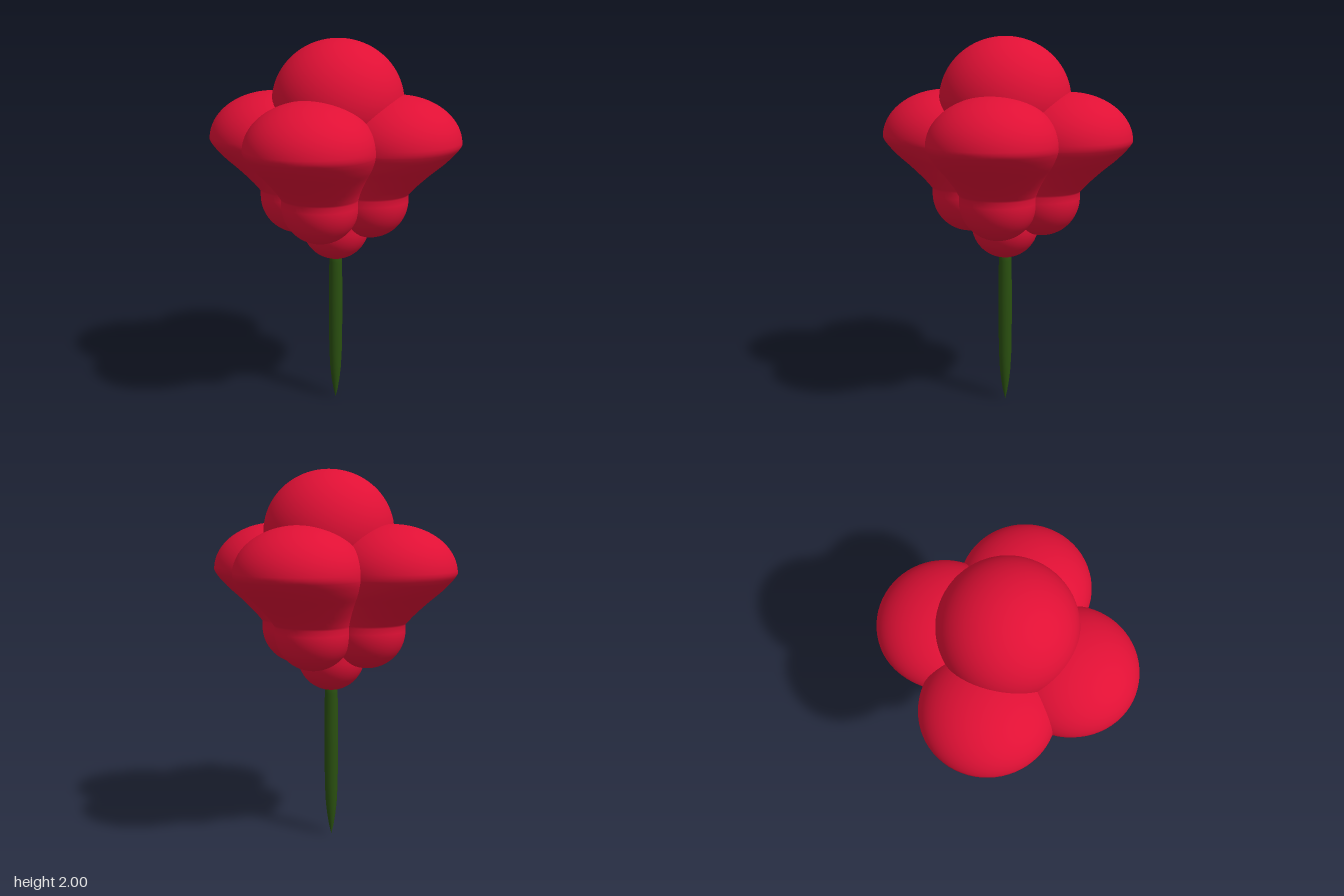
import * as THREE from 'three';
import { mergeVertices } from 'three/addons/utils/BufferGeometryUtils.js';

const red = new THREE.MeshStandardMaterial({ color: 0xe01035 });
const green = new THREE.MeshStandardMaterial({ color: 0x2a5010 });

// Profile points [radius, height] of a bulb: round base, flaring neck, domed top
function bulbProfile({ bottom, baseR, neck, rimY, rimR, top }) {
  const pts = [];
  const baseY = bottom + baseR;
  for (let i = 0; i <= 16; i++) {
    const a = (i / 16) * Math.PI / 2;
    pts.push(new THREE.Vector2(baseR * Math.sin(a), baseY - baseR * Math.cos(a)));
  }
  const flare = new THREE.SplineCurve(neck.map(([r, y]) => new THREE.Vector2(r, y)));
  pts.push(...flare.getPoints(16));
  for (let i = 0; i <= 24; i++) {
    const a = (i / 24) * Math.PI / 2;
    pts.push(new THREE.Vector2(rimR * Math.cos(a), rimY + (top - rimY) * Math.sin(a)));
  }
  pts[0].x = pts[pts.length - 1].x = 0;
  return pts;
}

// Lathe whose level rings slide from one centre to another as they rise
function leaningBulb(name, spec, from, to) {
  const geo = new THREE.LatheGeometry(bulbProfile(spec), 64);
  const pos = geo.attributes.position;
  const [y0, y1] = [spec.neck[0][1], spec.rimY];
  for (let i = 0; i < pos.count; i++) {
    const t = THREE.MathUtils.clamp((pos.getY(i) - y0) / (y1 - y0), 0, 1);
    pos.setX(i, pos.getX(i) + THREE.MathUtils.lerp(from[0], to[0], t));
    pos.setZ(i, pos.getZ(i) + THREE.MathUtils.lerp(from[1], to[1], t));
  }
  geo.deleteAttribute('uv');
  geo.deleteAttribute('normal');
  const smooth = mergeVertices(geo, 1e-5);
  smooth.computeVertexNormals();
  const mesh = new THREE.Mesh(smooth, red);
  mesh.name = name;
  return mesh;
}

export function createModel() {
  const group = new THREE.Group();
  group.name = 'flower';

  // Central bulb
  const centre = {
    bottom: 0.82, baseR: 0.18, rimY: 1.67, rimR: 0.347, top: 2,
    neck: [[0.182, 1.05], [0.22, 1.25], [0.3, 1.48], [0.338, 1.6], [0.346, 1.65]],
  };
  group.add(leaningBulb('centreBulb', centre, [0.01, 0], [0.022, -0.003]));

  // Four outer petals, leaning outward
  const petal = {
    bottom: 0.955, baseR: 0.203, rimY: 1.465, rimR: 0.338, top: 1.717,
    neck: [[0.202, 1.19], [0.222, 1.24], [0.262, 1.31], [0.303, 1.37], [0.328, 1.42], [0.337, 1.45]],
  };
  const petals = [
    ['frontPetal', [-0.02, 0.2], [-0.036, 0.336]],
    ['backPetal', [0.02, -0.2], [0.033, -0.338]],
    ['leftPetal', [0.2, 0], [0.34, -0.002]],
    ['rightPetal', [-0.2, 0], [-0.34, -0.002]],
  ];
  for (const [name, from, to] of petals) group.add(leaningBulb(name, petal, from, to));

  // Stem, tapering to a point at the bottom
  const stemProfile = [
    [0, 0], [0.012, 0.05], [0.022, 0.11], [0.03, 0.18], [0.035, 0.28],
    [0.038, 0.5], [0.038, 0.62], [0.035, 0.8], [0.034, 0.86], [0, 0.88],
  ].map(([r, y]) => new THREE.Vector2(r, y));
  const stem = new THREE.Mesh(new THREE.LatheGeometry(stemProfile, 16), green);
  stem.name = 'stem';
  stem.position.x = 0.01;
  group.add(stem);

  return group;
}
